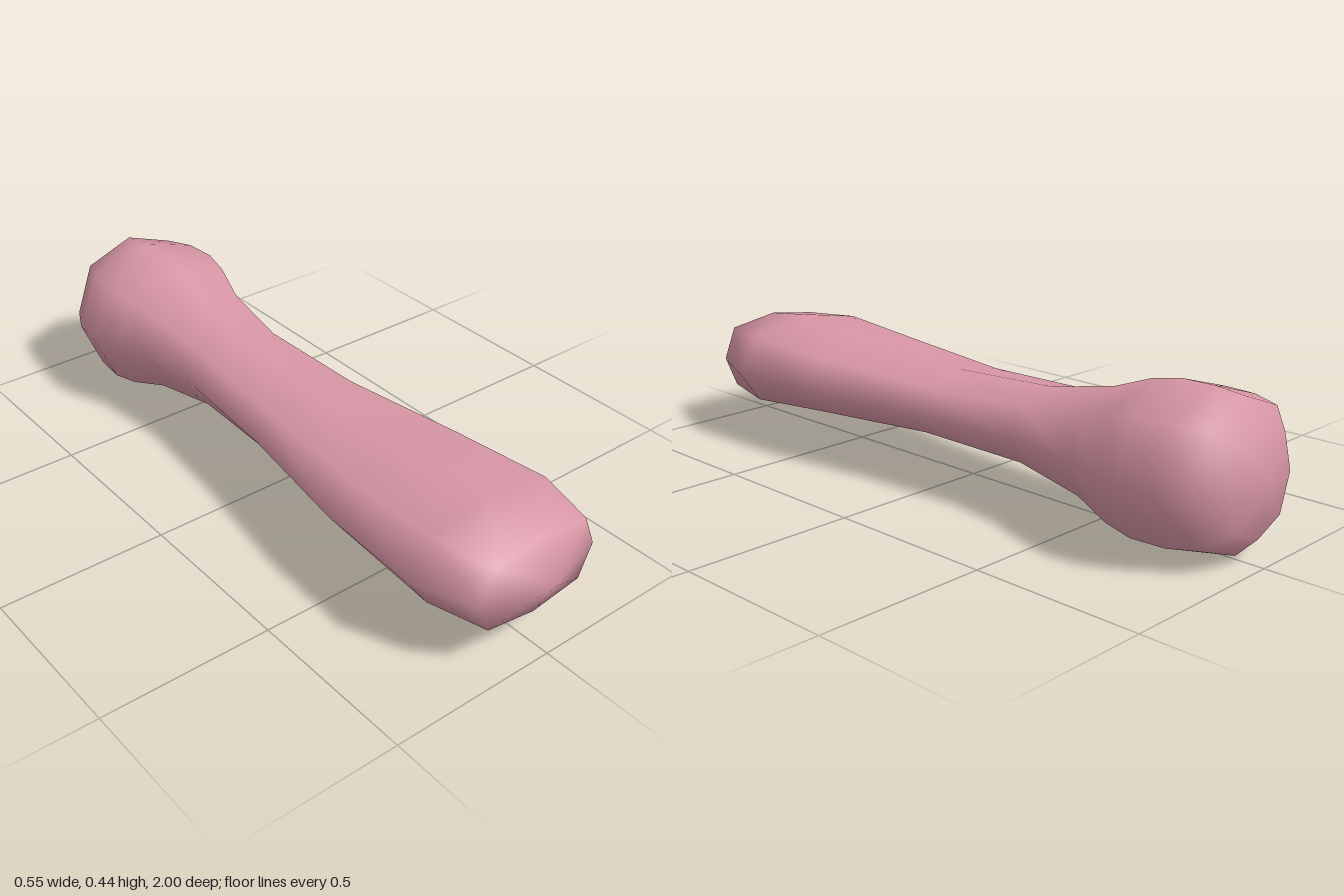
import * as THREE from 'three';

const CENTER_Y = 0.219;
const SIDES = 8;

// Cross-sections from front to back: [z, half width, half height, diagonal corner factor]
const RINGS = [
  [0.94, 0.2, 0.12, 0.8],
  [0.765, 0.275, 0.142, 0.73],
  [0.45, 0.26, 0.111, 0.73],
  [0.05, 0.2, 0.092, 0.73],
  [-0.3, 0.172, 0.109, 0.73],
  [-0.52, 0.198, 0.155, 0.73],
  [-0.64, 0.243, 0.2, 0.73],
  [-0.73, 0.262, 0.217, 0.73],
  [-0.83, 0.25, 0.218, 0.73],
  [-0.915, 0.208, 0.209, 0.73],
  [-0.977, 0.13, 0.148, 0.73],
];

// Joins octagonal rings into one closed skin, with a point at each end
function loftRings(rings, frontZ, backZ) {
  const positions = [];
  const index = [];
  for (const [z, w, h, diagonal] of rings) {
    for (let j = 0; j < SIDES; j++) {
      const a = (j / SIDES) * Math.PI * 2;
      const k = j % 2 ? diagonal / Math.SQRT1_2 : 1;
      positions.push(Math.cos(a) * w * k, CENTER_Y + Math.sin(a) * h * k, z);
    }
  }
  const front = rings.length * SIDES;
  const back = front + 1;
  positions.push(0, CENTER_Y, frontZ, 0, CENTER_Y, backZ);

  const last = (rings.length - 1) * SIDES;
  for (let j = 0; j < SIDES; j++) {
    const n = (j + 1) % SIDES;
    index.push(front, j, n, back, last + n, last + j);
    for (let i = 0; i < last; i += SIDES) {
      const a = i + j, b = i + n, c = a + SIDES, d = b + SIDES;
      index.push(a, c, b, b, c, d);
    }
  }
  const geometry = new THREE.BufferGeometry();
  geometry.setAttribute('position', new THREE.Float32BufferAttribute(positions, 3));
  geometry.setIndex(index);
  geometry.computeVertexNormals();
  return geometry;
}

export function createModel() {
  const group = new THREE.Group();
  group.name = 'clubShape';

  // Flattened paddle at the front, narrow waist, round bulb at the back
  const body = new THREE.Mesh(
    loftRings(RINGS, 1, -1),
    new THREE.MeshStandardMaterial({ color: 0xd896a5 })
  );
  body.name = 'body';
  group.add(body);
  return group;
}
